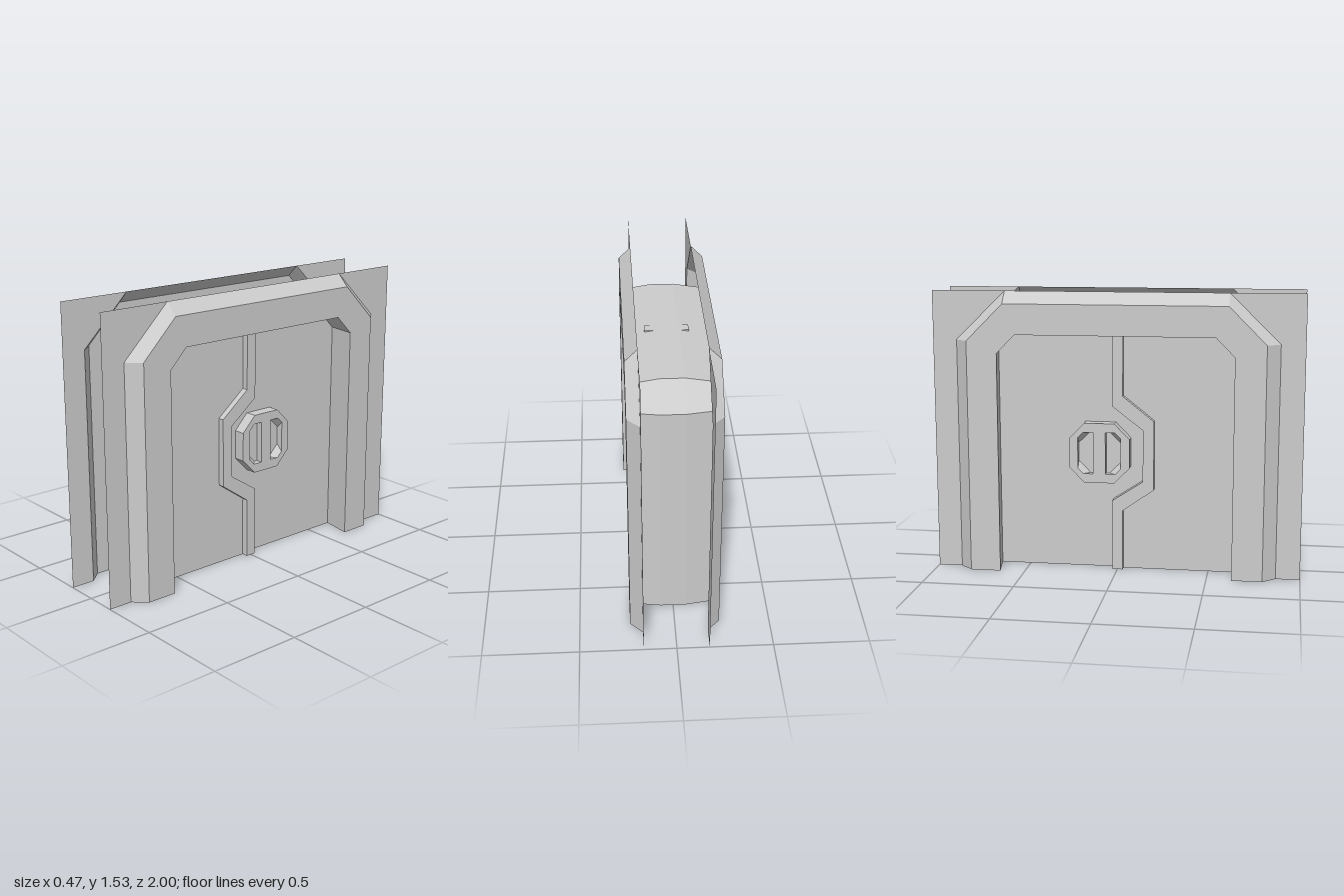
import * as THREE from 'three';

const metal = new THREE.MeshStandardMaterial({ color: 0xcccccc, side: THREE.DoubleSide });
metal.name = 'light grey metal';

// Profiles are lists of [z, y] points lying in a plane of constant x.
const toPath = pts => pts.map(([z, y]) => new THREE.Vector2(z, y));

function addMesh(parent, name, geometry) {
  const mesh = new THREE.Mesh(geometry, metal);
  mesh.name = name;
  parent.add(mesh);
}

// Flat sheet at a given x, with optional holes
function plate(pts, x, holes = []) {
  const shape = new THREE.Shape(toPath(pts));
  for (const h of holes) shape.holes.push(new THREE.Path(toPath(h)));
  const g = new THREE.ShapeGeometry(shape);
  const p = g.attributes.position;
  for (let i = 0; i < p.count; i++) p.setXYZ(i, x, p.getY(i), p.getX(i));
  g.computeVertexNormals();
  return g;
}

// Flat-shaded skin joining successive rings { x, pts }
function loft(rings, closed = false) {
  const v = [];
  for (let r = 0; r < rings.length - 1; r++) {
    const a = rings[r], b = rings[r + 1], n = a.pts.length;
    const at = (ring, i) => [ring.x, ring.pts[i % n][1], ring.pts[i % n][0]];
    for (let i = 0; i < (closed ? n : n - 1); i++) {
      v.push(...at(a, i), ...at(b, i), ...at(b, i + 1));
      v.push(...at(a, i), ...at(b, i + 1), ...at(a, i + 1));
    }
  }
  const g = new THREE.BufferGeometry();
  g.setAttribute('position', new THREE.Float32BufferAttribute(v, 3));
  g.computeVertexNormals();
  return g;
}

const WALL = 0.17, FACE = 0.235, FRONT_PANEL = 0.082, BACK_PANEL = 0.065;
const STRIP = 0.117, HANDLE = 0.13, SLOT_FLOOR = 0.093;

// Arch with cut corners, open at the floor
const arch = (z, y, cz, cy) =>
  [[z, 0], [z, cy], [cz, y], [-cz, y], [-z, cy], [-z, 0]];

// Doorway outline, widening slightly towards the middle
function opening(x) {
  const d = (FACE - x) * 0.165;
  return arch(0.635 + d, 1.306 + d, 0.535, 1.205);
}

const TOP = opening(BACK_PANEL)[2][1];
const stripFront = [[0.03, 0], [0.03, 0.335], [0.2, 0.455], [0.2, 0.835], [0.03, 0.97], [0.03, TOP]];
const stripBack = [[-0.028, TOP], [-0.028, 0.915], [0.14, 0.785], [0.14, 0.5], [-0.028, 0.39], [-0.028, 0]];

// Handle octagon, and a slot with its outer corners cut by c
const HZ = -0.098, HY = 0.655;
const octagon = [[1, 0.48], [0.5, 1], [-0.5, 1], [-1, 0.48], [-1, -0.48], [-0.5, -1], [0.5, -1], [1, -0.48]]
  .map(([z, y]) => [HZ + z * 0.167, HY + y * 0.165]);
const slot = (m, c) =>
  [[0.034, 0.115], [0.118 - c, 0.115], [0.118, 0.115 - c], [0.118, c - 0.115], [0.118 - c, -0.115], [0.034, -0.115]]
    .map(([z, y]) => [HZ + m * z, HY + y]);

function buildSide(s) {
  const side = new THREE.Group();
  side.name = s > 0 ? 'leftSide' : 'rightSide';

  // Wall sheets beside the frame
  for (const m of [1, -1]) {
    const pts = [[1, 0], [1, 1.535], [0.6, 1.535], [0.87, 1.27], [0.87, 0]].map(([z, y]) => [m * z, y]);
    addMesh(side, 'wall', plate(pts, s * WALL));
  }

  // Raised door frame: sloped outer edge and flat face
  const outerBase = arch(0.87, 1.535, 0.6, 1.27);
  const outerFace = arch(0.8, 1.47, 0.6, 1.27);
  addMesh(side, 'frameBevel', loft([{ x: s * WALL, pts: outerBase }, { x: s * FACE, pts: outerFace }]));
  addMesh(side, 'frameFace', plate([...outerFace, ...opening(FACE).reverse()], s * FACE));

  // Two door leaves, meeting behind the strip
  const f = opening(FRONT_PANEL), b = opening(BACK_PANEL);
  addMesh(side, 'frontLeaf', plate([f[0], f[1], f[2], [0.03, f[2][1]], ...stripFront.slice(0, 5).reverse()], s * FRONT_PANEL));
  addMesh(side, 'backLeaf', plate([...stripBack, b[5], b[4], b[3]], s * BACK_PANEL));

  // Raised seam strip with a sideways jog
  const strip = [...stripFront, ...stripBack];
  addMesh(side, 'stripFace', plate(strip, s * STRIP));
  addMesh(side, 'stripEdge', loft([{ x: s * BACK_PANEL, pts: strip }, { x: s * STRIP, pts: strip }]));

  // Octagonal handle with two recessed slots
  const handle = new THREE.Group();
  handle.name = 'handle';
  addMesh(handle, 'handleFace', plate(octagon, s * HANDLE, [slot(1, 0.03), slot(-1, 0.03)]));
  addMesh(handle, 'handleEdge', loft([{ x: s * BACK_PANEL, pts: octagon }, { x: s * HANDLE, pts: octagon }], true));
  for (const m of [1, -1]) {
    addMesh(handle, 'slotWall', loft([{ x: s * HANDLE, pts: slot(m, 0.03) }, { x: s * SLOT_FLOOR, pts: slot(m, 0.065) }], true));
    addMesh(handle, 'slotFloor', plate(slot(m, 0.065), s * SLOT_FLOOR));
  }
  side.add(handle);
  return side;
}

export function createModel() {
  const model = new THREE.Group();
  model.name = 'slidingDoor';
  model.add(buildSide(1), buildSide(-1));

  // Lining of the doorway, running through from one face to the other
  const rings = [FACE, BACK_PANEL, -BACK_PANEL, -FACE].map(x => ({ x, pts: opening(Math.abs(x)) }));
  addMesh(model, 'doorwayLining', loft(rings));
  return model;
}
